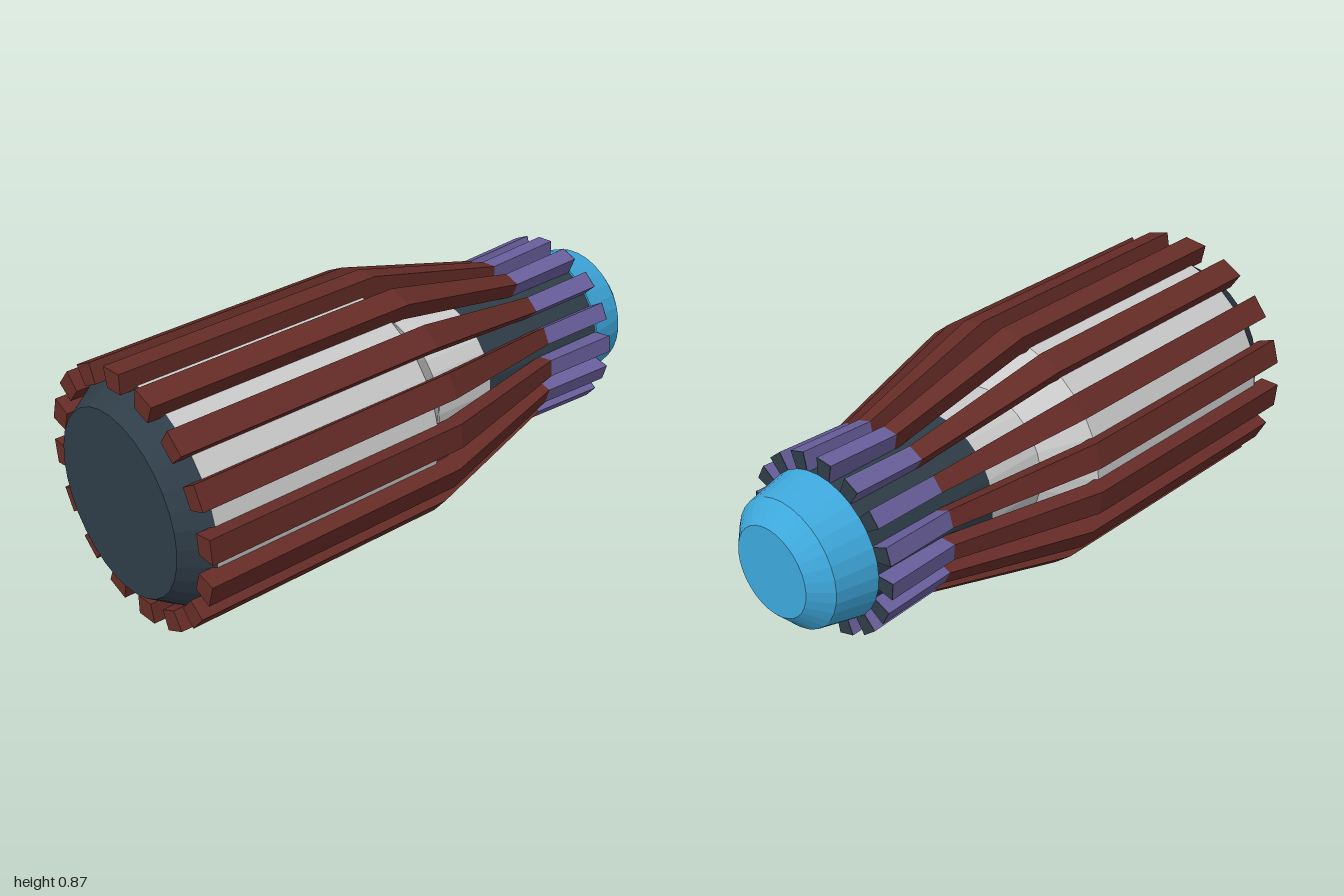
import * as THREE from 'three';

const SIDES = 32;          // facets around the axis
const RIBS = 16;           // every other facet carries a rib
const AXIS_HEIGHT = 0.434;

const paint = (color) => new THREE.MeshStandardMaterial({ color, flatShading: true });
const MAT = {
  grey: paint(0xcccccc),
  slate: paint(0x2f3d48),
  red: paint(0x662c27),
  purple: paint(0x695f9c),
  blue: paint(0x3ea8dc),
};

// Faceted body turned around the x axis; profile points are [x, radius]
function turned(name, profile, material) {
  const points = profile.map(([x, r]) => new THREE.Vector2(r, x));
  const geometry = new THREE.LatheGeometry(points, SIDES);
  geometry.rotateZ(-Math.PI / 2);
  const mesh = new THREE.Mesh(geometry, material);
  mesh.name = name;
  return mesh;
}

// Wedge-shaped bar following sections [x, outerRadius, innerRadius]
function wedgeGeometry(sections) {
  const a1 = (Math.PI * 2) / SIDES;
  const positions = [];
  for (const [x, ro, ri] of sections) {
    for (const [r, a] of [[ro, 0], [ro, a1], [ri, a1], [ri, 0]]) {
      positions.push(x, r * Math.sin(a), r * Math.cos(a));
    }
  }
  const index = [0, 1, 2, 0, 2, 3];
  for (let i = 0; i < sections.length - 1; i++) {
    for (let j = 0; j < 4; j++) {
      const a = i * 4 + j;
      const b = i * 4 + ((j + 1) % 4);
      index.push(a, a + 4, b + 4, a, b + 4, b);
    }
  }
  const e = (sections.length - 1) * 4;
  index.push(e, e + 2, e + 1, e, e + 3, e + 2);
  const geometry = new THREE.BufferGeometry();
  geometry.setAttribute('position', new THREE.Float32BufferAttribute(positions, 3));
  geometry.setIndex(index);
  const flat = geometry.toNonIndexed();
  flat.computeVertexNormals();
  return flat;
}

export function createModel() {
  const model = new THREE.Group();
  model.name = 'ribbedCapsule';
  const body = new THREE.Group();
  body.name = 'body';
  body.position.y = AXIS_HEIGHT;
  model.add(body);

  // Central body, from the rear cap to the nose
  body.add(
    turned('rearCap', [[-1, 0], [-1, 0.31], [-0.9, 0.375]], MAT.slate),
    turned('mainBarrel', [[-0.9, 0.375], [-0.05, 0.375], [0.075, 0.24], [0.3, 0.24]], MAT.grey),
    turned('neck', [[0.3, 0.24], [0.8, 0.24]], MAT.slate),
    turned('nose', [[0.8, 0], [0.8, 0.248], [0.94, 0.217], [1, 0.152], [1, 0]], MAT.blue),
  );

  // Ribs: straight along the barrel, tapering in, with a coloured collar at the neck
  const parts = [
    ['rib', wedgeGeometry([[-0.96, 0.434, 0.365], [0, 0.434, 0.365], [0.53, 0.297, 0.235]]), MAT.red],
    ['collarTooth', wedgeGeometry([[0.53, 0.297, 0.235], [0.797, 0.307, 0.235]]), MAT.purple],
    ['collarToothEnd', wedgeGeometry([[0.797, 0.307, 0.235], [0.8, 0.307, 0.235]]), MAT.slate],
  ];
  for (let i = 0; i < RIBS; i++) {
    const arm = new THREE.Group();
    arm.name = `ribAssembly${i + 1}`;
    arm.rotation.x = (i * Math.PI * 2) / RIBS;
    for (const [name, geometry, material] of parts) {
      const mesh = new THREE.Mesh(geometry, material);
      mesh.name = name;
      arm.add(mesh);
    }
    body.add(arm);
  }
  return model;
}
